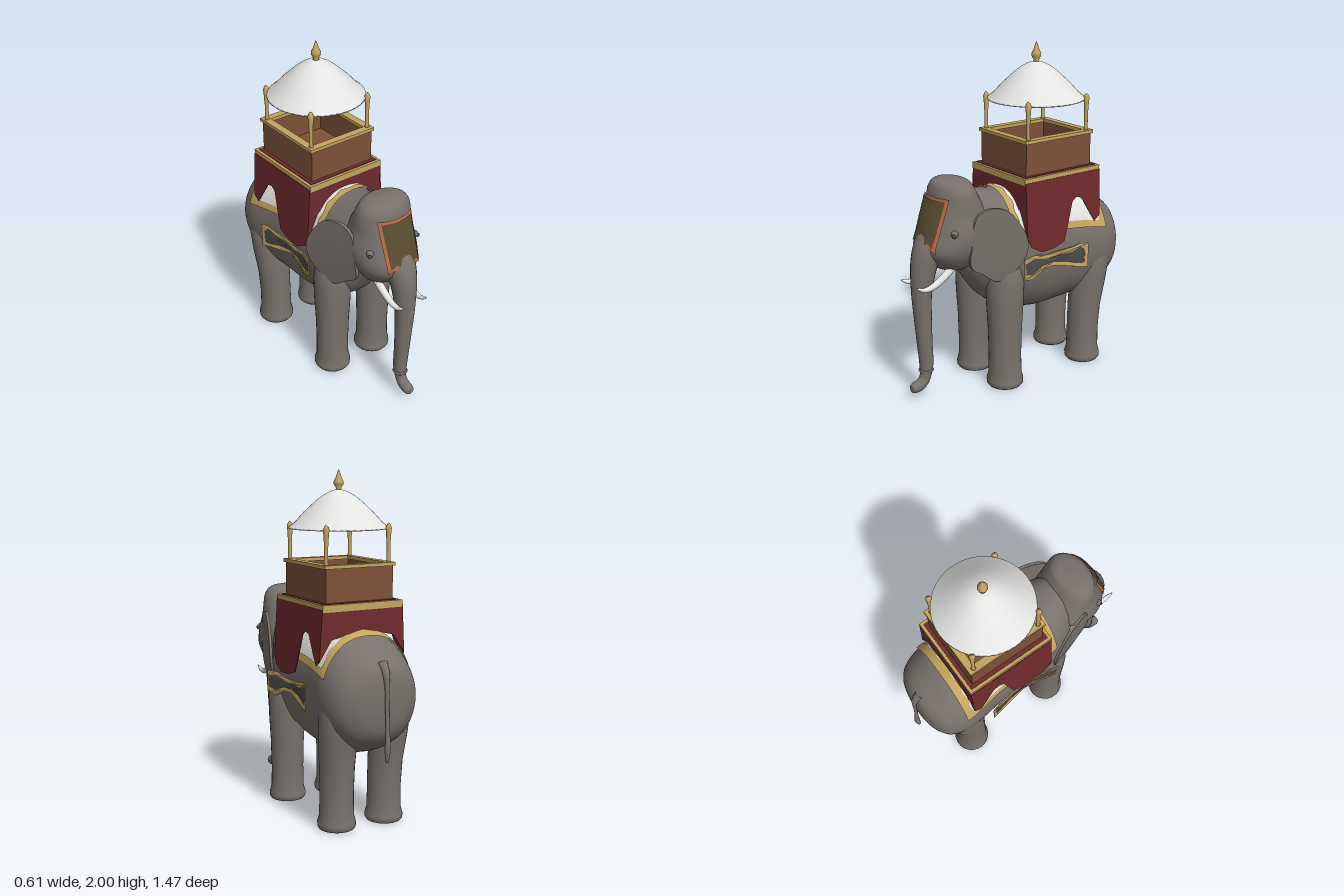
import * as THREE from 'three';
import { mergeVertices, toCreasedNormals } from 'three/addons/utils/BufferGeometryUtils.js';

const paint = (name, color, side = THREE.FrontSide) => {
  const m = new THREE.MeshStandardMaterial({ color, side });
  m.name = name;
  return m;
};

// Smooth interpolation of rows [key, a, b, ...] with rising keys
function sample(rows, k) {
  const n = rows.length;
  let i = 0;
  while (i < n - 2 && k > rows[i + 1][0]) i++;
  const r0 = rows[Math.max(i - 1, 0)], r1 = rows[i], r2 = rows[i + 1], r3 = rows[Math.min(i + 2, n - 1)];
  const h = r2[0] - r1[0], t = (k - r1[0]) / h, t2 = t * t, t3 = t2 * t;
  return r1.slice(1).map((a, j) => {
    const b = r2[j + 1];
    const ma = (b - r0[j + 1]) / (r2[0] - r0[0]) * h, mb = (r3[j + 1] - a) / (r3[0] - r1[0]) * h;
    return (2 * t3 - 3 * t2 + 1) * a + (t3 - 2 * t2 + t) * ma + (3 * t2 - 2 * t3) * b + (t3 - t2) * mb;
  });
}
// Key at fraction v of the row list
const keyAt = (rows, v) => {
  const s = v * (rows.length - 1), i = Math.min(Math.floor(s), rows.length - 2);
  return THREE.MathUtils.lerp(rows[i][0], rows[i + 1][0], s - i);
};

// Grid surface from f(u, v) -> [x, y, z]
function surface(f, nu, nv) {
  const g = new THREE.PlaneGeometry(1, 1, nu, nv), p = g.attributes.position;
  for (let i = 0; i < p.count; i++) p.setXYZ(i, ...f(p.getX(i) + 0.5, p.getY(i) + 0.5));
  g.deleteAttribute('uv');
  g.deleteAttribute('normal');
  const m = mergeVertices(g);
  m.computeVertexNormals();
  return m;
}

// Round limb through rows [y, z, radius], at a fixed x
function limb(rows, x = 0) {
  const keyed = rows.map((r, i) => [i, ...r]), last = rows.length - 1;
  return surface((u, v) => {
    const s = v * last, [y, z, r] = sample(keyed, s);
    const a = sample(keyed, Math.max(s - 0.05, 0)), b = sample(keyed, Math.min(s + 0.05, last));
    const len = Math.hypot(b[0] - a[0], b[1] - a[1]), ty = (b[0] - a[0]) / len, tz = (b[1] - a[1]) / len;
    const c = Math.cos(u * 2 * Math.PI) * r, d = Math.sin(u * 2 * Math.PI) * r;
    return [x + c, y + d * tz, z - d * ty];
  }, 20, last * 6);
}

const outline = (pts, smooth) => {
  const v = pts.map(([z, y]) => new THREE.Vector2(-z, y));
  if (!smooth) return v;
  const curve = new THREE.CatmullRomCurve3(v.map(p => new THREE.Vector3(p.x, p.y, 0)), true);
  return curve.getPoints(48).slice(0, -1).map(p => new THREE.Vector2(p.x, p.y));
};
// Side plate drawn in (z, y) and bent to x = bend(z, y)
function sidePlate(pts, bend, { hole, smooth, depth = 0.006 } = {}) {
  const shape = new THREE.Shape(outline(pts, smooth));
  if (hole) shape.holes.push(new THREE.Path(outline(hole, smooth)));
  const g = new THREE.ExtrudeGeometry(shape, { depth, bevelEnabled: false }), p = g.attributes.position;
  for (let i = 0; i < p.count; i++) {
    const z = -p.getX(i), y = p.getY(i);
    p.setXYZ(i, bend(z, y) + p.getZ(i), y, z);
  }
  return toCreasedNormals(g, 0.6);
}

// Rectangular ring standing on y
function ring(w, d, t, h, y) {
  const rect = (a, b, S) => new S([[-a, -b], [a, -b], [a, b], [-a, b]].map(q => new THREE.Vector2(...q)));
  const s = rect(w, d, THREE.Shape);
  s.holes.push(rect(w - t, d - t, THREE.Path));
  return new THREE.ExtrudeGeometry(s, { depth: h, bevelEnabled: false }).rotateX(-Math.PI / 2).translate(0, y, 0);
}
const lathe = (pts, n = 32) => new THREE.LatheGeometry(pts.map(p => new THREE.Vector2(...p)), n);

// Torso sections: z, top, bottom, half width
const TORSO = [
  [-0.705, 0.78, 0.78, 0], [-0.695, 0.9, 0.66, 0.1], [-0.67, 0.96, 0.57, 0.18], [-0.61, 1.01, 0.5, 0.25],
  [-0.5, 1.09, 0.44, 0.283], [-0.4, 1.13, 0.42, 0.276], [-0.25, 1.16, 0.405, 0.255], [-0.1, 1.18, 0.4, 0.25],
  [0.05, 1.185, 0.43, 0.25], [0.15, 1.18, 0.47, 0.245], [0.25, 1.2, 0.54, 0.215], [0.34, 1.215, 0.66, 0.16],
  [0.42, 1.16, 0.8, 0.09], [0.43, 1, 1, 0],
];
const torsoPoint = (z, a, off = 0) => {
  const [top, bot, w] = sample(TORSO, z), s = Math.sin(a);
  return [Math.sign(s) * Math.abs(s) ** 0.85 * (w + off), (top + bot) / 2 + ((top - bot) / 2 + off) * Math.cos(a), z];
};
// Head sections: y, back z, front z, half width
const HEAD = [
  [0.75, 0.44, 0.44, 0], [0.765, 0.36, 0.52, 0.09], [0.82, 0.3, 0.6, 0.15], [0.9, 0.24, 0.65, 0.19],
  [1.0, 0.2, 0.62, 0.205], [1.1, 0.24, 0.59, 0.185], [1.18, 0.29, 0.56, 0.177], [1.24, 0.32, 0.545, 0.16],
  [1.28, 0.355, 0.51, 0.11], [1.295, 0.43, 0.43, 0],
];

export function createModel() {
  const model = new THREE.Group();
  const D = THREE.DoubleSide;
  const skin = paint('grey skin', 0x79726c), red = paint('deep red cloth', 0x702a2d, D);
  const gold = paint('gold', 0xc4a55f, D), white = paint('white', 0xe4e4e2, D);
  const wood = paint('brown wood', 0x7d5239), olive = paint('olive brown', 0x5a4c32, D);
  const orange = paint('orange trim', 0xb9694a, D), dark = paint('dark grey', 0x4c4c4d, D);
  const add = (name, geo, mat, x = 0, y = 0, z = 0) => {
    const m = new THREE.Mesh(geo, mat);
    m.name = name;
    m.position.set(x, y, z);
    model.add(m);
    return m;
  };
  const pair = (name, geo, mat) => {
    add('left' + name, geo, mat);
    add('right' + name, geo, mat).scale.x = -1;
  };

  // Torso and head
  add('torso', surface((u, v) => torsoPoint(keyAt(TORSO, 1 - v), u * 2 * Math.PI), 48, 52), skin);
  add('head', surface((u, v) => {
    const y = keyAt(HEAD, v), [b, f, w] = sample(HEAD, y), a = u * 2 * Math.PI;
    return [Math.sin(a) * w, y, (b + f) / 2 + Math.cos(a) * (f - b) / 2];
  }, 40, 45), skin);

  // Legs
  const leg = lathe([[0, 0], [0.1, 0], [0.109, 0.012], [0.11, 0.035], [0.099, 0.075], [0.097, 0.2], [0.101, 0.36],
    [0.11, 0.52], [0.112, 0.65], [0.095, 0.77], [0.05, 0.84], [0, 0.86]]);
  pair('FrontLeg', leg.clone().translate(0.157, 0, 0.175), skin);
  const hind = leg.clone().translate(0.157, 0, -0.435), hp = hind.attributes.position;
  for (let i = 0; i < hp.count; i++) { // thigh widens backwards
    const t = Math.max(0, hp.getY(i) - 0.3);
    hp.setXYZ(i, hp.getX(i) + t * 0.04, hp.getY(i), hp.getZ(i) - t * 0.12);
  }
  hind.computeVertexNormals();
  pair('HindLeg', hind, skin);

  // Trunk, tusks and tail
  add('trunk', limb([[1.0, 0.54, 0.08], [0.9, 0.595, 0.088], [0.8, 0.63, 0.076], [0.65, 0.648, 0.06], [0.5, 0.645, 0.052],
    [0.35, 0.638, 0.046], [0.2, 0.63, 0.041], [0.12, 0.64, 0.033], [0.08, 0.67, 0.033], [0.068, 0.71, 0.032],
    [0.068, 0.733, 0.022], [0.068, 0.735, 0]]), skin);
  add('trunkFold', new THREE.TorusGeometry(0.038, 0.007, 8, 24).rotateX(Math.PI / 2), skin, 0, 0.16, 0.632);
  pair('Tusk', limb([[0.8, 0.48, 0.024], [0.745, 0.55, 0.022], [0.705, 0.62, 0.019], [0.695, 0.675, 0.014],
    [0.71, 0.715, 0.008], [0.722, 0.735, 0]], 0.085), white);
  add('tail', limb([[0.97, -0.65, 0.03], [0.92, -0.69, 0.022], [0.85, -0.703, 0.014], [0.72, -0.708, 0.011],
    [0.6, -0.715, 0.012], [0.52, -0.718, 0.017], [0.44, -0.712, 0.01], [0.43, -0.712, 0]]), skin);

  // Ears and eyes
  pair('Ear', sidePlate([[0.42, 1.05], [0.39, 1.11], [0.33, 1.14], [0.24, 1.125], [0.17, 1.05], [0.115, 0.93], [0.13, 0.81],
    [0.2, 0.73], [0.28, 0.695], [0.36, 0.75], [0.43, 0.8], [0.43, 0.95]],
  (z, y) => 0.185 + (0.42 - z) * 0.32 - Math.max(0, 0.9 - y) * 0.12, { smooth: true, depth: 0.018 }), skin);
  pair('Eyelid', new THREE.SphereGeometry(0.022, 16, 10).translate(0.163, 1.015, 0.525), skin);
  pair('Eye', new THREE.SphereGeometry(0.012, 12, 8).translate(0.175, 1.008, 0.537), dark);

  // Forehead cover, following the head
  const browPlate = (w, y0, y1, off) => surface((u, v) => {
    const x = (u * 2 - 1) * w * (0.93 + 0.07 * v);
    const y = y0 + (y1 - y0) * v + (1 - v) * 0.012 * Math.cos(u * 6 * Math.PI + Math.PI);
    const [b, f, hw] = sample(HEAD, y);
    return [x, y, (b + f) / 2 + (f - b) / 2 * Math.sqrt(1 - (x / hw) ** 2) + off];
  }, 24, 16);
  add('foreheadTrim', browPlate(0.122, 0.915, 1.205, 0.012), orange);
  add('foreheadCover', browPlate(0.107, 0.945, 1.19, 0.018), olive);

  // Blanket on the back with gold borders
  const cover = (z0, z1, a0, a1, off, wave = 0) => surface((u, v) =>
    torsoPoint(z0 + (z1 - z0) * v + wave * (1 - v) * Math.sin(u * 40), a0 + (a1 - a0) * u, off), 40, 16);
  const A = 1.2;
  add('blanket', cover(0.16, -0.49, -A, A, 0.007), white);
  add('blanketFrontBorder', cover(0.125, 0.17, -A, A, 0.014, 0.006), gold);
  add('blanketRearBorder', cover(-0.455, -0.505, -A, A, 0.011, 0.006), gold);
  pair('BlanketHem', cover(0.17, -0.505, A - 0.1, A + 0.02, 0.011), gold);

  // Red drapes: side flaps plus front and rear panels
  pair('SideDrape', sidePlate([[0.1, 1.25], [0.1, 0.93], [0.07, 0.87], [0.0, 0.83], [-0.09, 0.835], [-0.17, 0.86],
    [-0.2, 0.95], [-0.24, 1.09], [-0.27, 1.11], [-0.31, 1.1], [-0.37, 1.0], [-0.41, 0.94], [-0.45, 0.97], [-0.455, 1.25]],
  (z, y) => 0.252 + (1.25 - y) * 0.06), red);
  for (const [name, z, low] of [['frontDrape', 0.098, 0.93], ['rearDrape', -0.453, 0.97]]) {
    const s = new THREE.Shape([[-0.254, 1.25], [-0.272, low], [-0.2, 1.08], [0, 1.13], [0.2, 1.08], [0.272, low], [0.254, 1.25]]
      .map(p => new THREE.Vector2(...p)));
    add(name, new THREE.ShapeGeometry(s), red, 0, 0, z);
  }

  // Side panels with gold frames
  const bow = z => 0.264 + 0.6 * (z + 0.1) ** 2;
  const panel = [[0.135, 0.79], [0.125, 0.72], [0.07, 0.71], [-0.02, 0.74], [-0.1, 0.745], [-0.2, 0.725], [-0.28, 0.7],
    [-0.315, 0.7], [-0.32, 0.78], [-0.29, 0.805], [-0.235, 0.78], [-0.12, 0.778], [-0.04, 0.775], [0.05, 0.8]];
  const frame = [[0.14, 0.82], [0.14, 0.695], [0.07, 0.675], [-0.02, 0.715], [-0.1, 0.722], [-0.2, 0.7], [-0.28, 0.675],
    [-0.34, 0.67], [-0.34, 0.82], [-0.29, 0.825], [-0.235, 0.81], [-0.12, 0.805], [-0.04, 0.8], [0.05, 0.82]];
  pair('SidePanelFrame', sidePlate(frame, bow, { hole: panel }), gold);
  pair('SidePanel', sidePlate(panel, bow, { depth: 0.004 }), dark);

  // Carriage: platform, open box, rim and posts
  const Z = -0.175;
  add('platform', new THREE.BoxGeometry(0.51, 0.04, 0.56), gold, 0, 1.255, Z);
  add('platformInlay', new THREE.BoxGeometry(0.475, 0.006, 0.525), red, 0, 1.276, Z);
  add('carriageWalls', ring(0.215, 0.24, 0.025, 0.19, 1.277), wood, 0, 0, Z);
  add('carriageFloor', new THREE.BoxGeometry(0.4, 0.02, 0.45), wood, 0, 1.29, Z);
  add('carriageRim', ring(0.226, 0.25, 0.045, 0.02, 1.466), gold, 0, 0, Z);
  const post = lathe([[0, 1.48], [0.016, 1.48], [0.011, 1.5], [0.011, 1.58], [0.015, 1.65], [0.018, 1.675], [0.01, 1.695], [0, 1.705]], 16);
  for (const x of [-0.2, 0.2]) for (const z of [-0.215, 0.215]) add('canopyPost', post, gold, x, 0, Z + z);

  // Canopy and finial
  add('canopy', lathe([[0, 1.86], [0.06, 1.85], [0.19, 1.745], [0.277, 1.672], [0.285, 1.668], [0.283, 1.676], [0.25, 1.702],
    [0.2, 1.757], [0.13, 1.822], [0.09, 1.853], [0.05, 1.875], [0.02, 1.884], [0, 1.885]], 48), white, 0, 0, Z);
  add('finial', lathe([[0, 1.87], [0.024, 1.875], [0.014, 1.892], [0.028, 1.915], [0.028, 1.93], [0.016, 1.955], [0.008, 1.98], [0, 2]], 20), gold, 0, 0, Z);
  return model;
}
